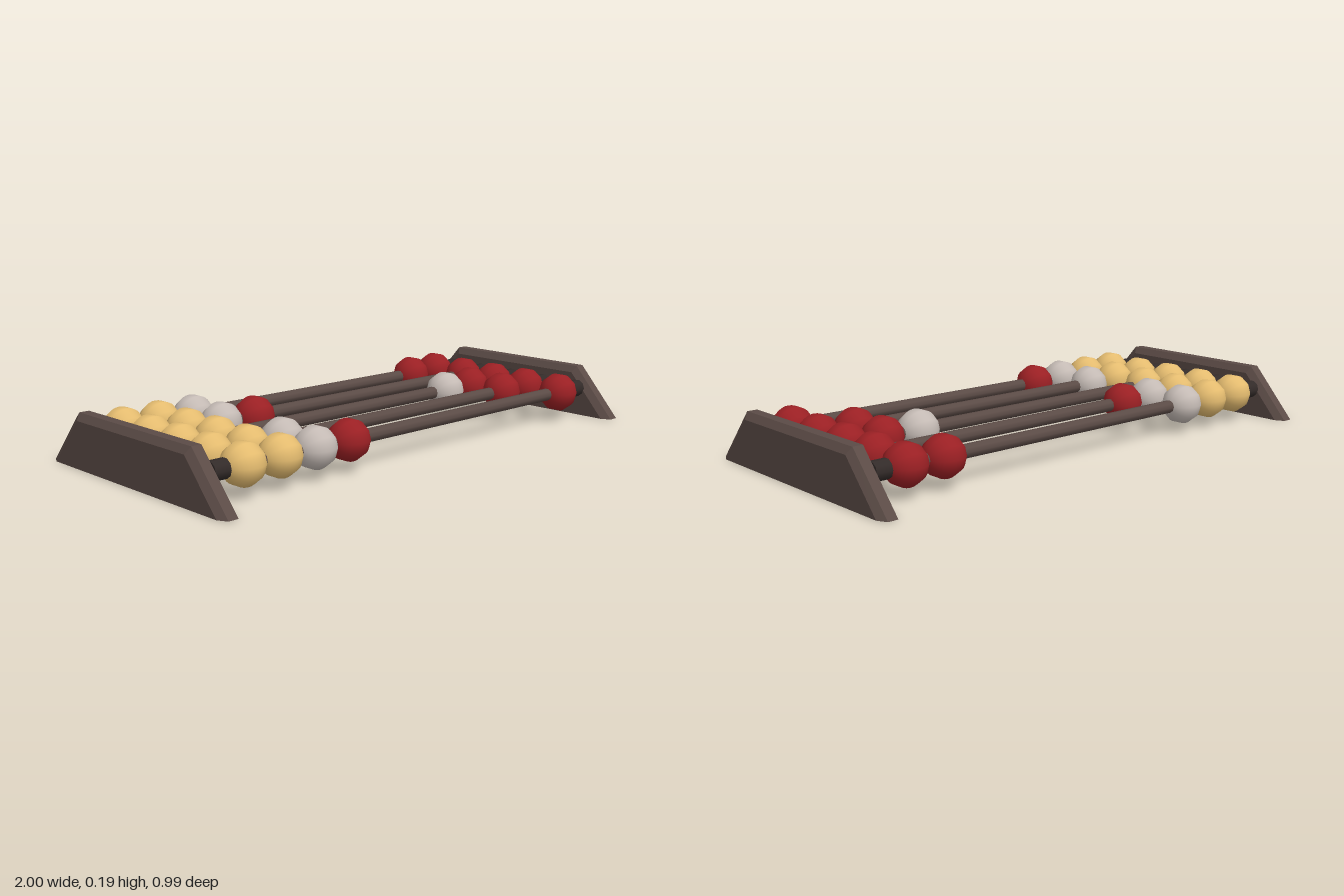
import * as THREE from 'three';
import { ConvexGeometry } from 'three/addons/geometries/ConvexGeometry.js';

const AXIS_Y = 0.11;
const ROW_GAP = 0.168;
const BEAD_R = 0.075;

const paint = (color) => new THREE.MeshStandardMaterial({ color });
const wood = paint(0x5b4b46);
const dark = paint(0x332b29);
const yellow = paint(0xe6bd70);
const grey = paint(0xc6bcb6);
const red = paint(0x9c2024);

// Trapezoid end board with chamfered top and sloping edges, square at the bottom
function boardGeometry() {
  const points = [];
  const addOutline = (x, foot, shoulder, top) => {
    for (const s of [-1, 1]) {
      points.push(new THREE.Vector3(x, 0, s * foot), new THREE.Vector3(x, top, s * shoulder));
    }
  };
  for (const s of [-1, 1]) {
    addOutline(s * 0.037, 0.46, 0.307, 0.17);
    addOutline(s * 0.019, 0.495, 0.32, 0.195);
  }
  return new ConvexGeometry(points);
}

// Cylinder lying along x
function barGeometry(radius, length, sides) {
  return new THREE.CylinderGeometry(radius, radius, length, sides).rotateZ(Math.PI / 2);
}

export function createModel() {
  const group = new THREE.Group();
  const add = (name, geometry, material, x, y, z) => {
    const mesh = new THREE.Mesh(geometry, material);
    mesh.name = name;
    mesh.position.set(x, y, z);
    group.add(mesh);
  };

  const board = boardGeometry();
  add('leftEndBoard', board, wood, 0.963, 0, 0);
  add('rightEndBoard', board, wood, -0.963, 0, 0);

  // Ten-sided beads threaded along x
  const bead = new THREE.SphereGeometry(BEAD_R, 10, 16).rotateY(Math.PI / 2).rotateZ(Math.PI / 2);
  const rod = barGeometry(0.024, 1.86, 10);
  const socket = barGeometry(0.034, 0.06, 10);

  // Bead layouts, from back row to front row: [x, material]
  const yellows = [[-0.8, yellow], [-0.65, yellow]];
  const rowA = [...yellows, [-0.5, grey], [0.65, red], [0.8, red]];
  const rowB = [...yellows, [-0.5, grey], [-0.35, red], [0.8, red]];
  const rowC = [...yellows, [0.5, grey], [0.65, red], [0.8, red]];

  [rowA, rowB, rowC, rowA, rowB].forEach((row, i) => {
    const z = (i - 2) * ROW_GAP;
    add('rod', rod, wood, 0, AXIS_Y, z);
    for (const s of [-1, 1]) add('rodSocket', socket, dark, s * 0.9, AXIS_Y, z);
    for (const [x, material] of row) add('bead', bead, material, x, AXIS_Y, z);
  });

  return group;
}
